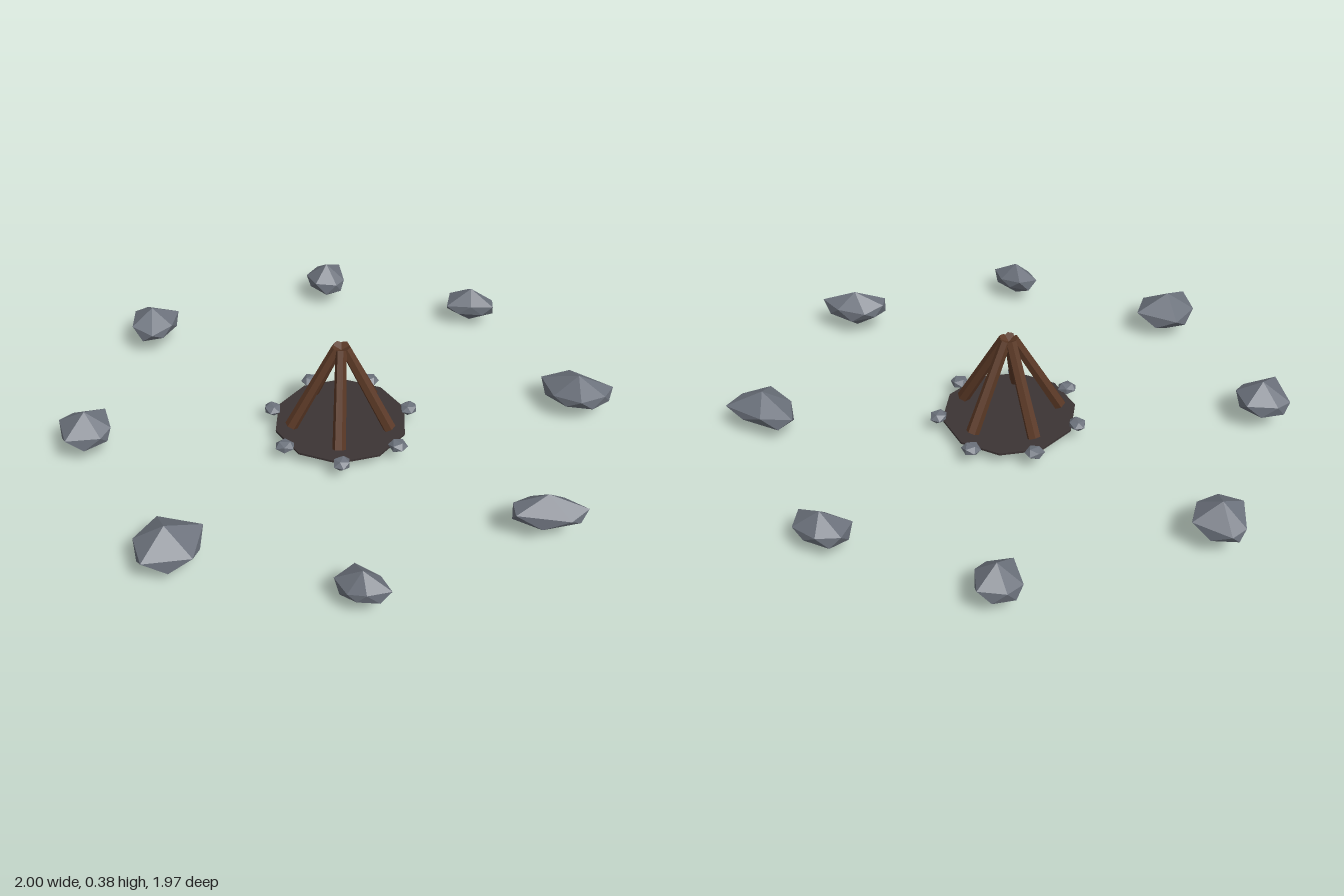
import * as THREE from 'three';
import { ConvexGeometry } from 'three/addons/geometries/ConvexGeometry.js';

function material(name, color) {
  const m = new THREE.MeshStandardMaterial({ color });
  m.name = name;
  m.flatShading = true;
  return m;
}

// Faceted boulder: upper ring, staggered lower ring, top and bottom points
function boulderGeometry(low, high, outline) {
  const n = outline.length;
  const cx = outline.reduce((s, p) => s + p[0], 0) / n;
  const cz = outline.reduce((s, p) => s + p[1], 0) / n;
  const h = high - low;
  const points = [new THREE.Vector3(cx, high, cz), new THREE.Vector3(cx, low, cz)];
  outline.forEach(([x, z], i) => {
    const [x2, z2] = outline[(i + 1) % n];
    const wobble = 0.06 * Math.sin(i * 2.3 + cx * 9);
    points.push(new THREE.Vector3(x, low + h * (0.62 + wobble), z));
    points.push(new THREE.Vector3(
      cx + ((x + x2) / 2 - cx) * 1.04,
      low + h * (0.36 + wobble),
      cz + ((z + z2) / 2 - cz) * 1.04));
  });
  return new ConvexGeometry(points);
}

// Outer boulders: bottom, top, outline seen from above as [x, z]
const BOULDERS = [
  [0.015, 0.16, [[-0.1, -0.92], [-0.05, -0.985], [0.06, -0.99], [0.1, -0.93], [0.03, -0.88], [-0.06, -0.84]]],
  [0.015, 0.165, [[-0.58, -0.8], [-0.5, -0.73], [-0.5, -0.68], [-0.56, -0.62], [-0.65, -0.67], [-0.65, -0.74]]],
  [0.02, 0.165, [[0.49, -0.65], [0.56, -0.735], [0.73, -0.76], [0.74, -0.68], [0.695, -0.585], [0.585, -0.58]]],
  [0.03, 0.17, [[-0.99, -0.08], [-0.86, -0.12], [-0.81, -0.03], [-0.83, 0.06], [-0.92, 0.075], [-1, -0.02]]],
  [0.03, 0.18, [[0.79, 0.04], [0.81, -0.04], [0.905, -0.095], [1, -0.09], [0.98, -0.015], [0.83, 0.085]]],
  [0.02, 0.17, [[-0.63, 0.5], [-0.54, 0.56], [-0.53, 0.62], [-0.6, 0.72], [-0.72, 0.64], [-0.71, 0.58]]],
  [0.02, 0.155, [[0.52, 0.64], [0.54, 0.56], [0.63, 0.545], [0.7, 0.58], [0.655, 0.65], [0.595, 0.67]]],
  [0, 0.165, [[-0.1, 0.78], [0.05, 0.72], [0.12, 0.845], [0.02, 0.975], [-0.085, 0.905]]],
];

export function createModel() {
  const stone = material('stone grey', 0x6c727c);
  const wood = material('wood brown', 0x5a3825);
  const ash = material('ash', 0x3c3434);
  const model = new THREE.Group();
  model.name = 'campfire';

  // Ring of boulders
  const boulders = new THREE.Group();
  boulders.name = 'boulders';
  BOULDERS.forEach(([low, high, outline], i) => {
    const rock = new THREE.Mesh(boulderGeometry(low, high, outline), stone);
    rock.name = `boulder${i + 1}`;
    boulders.add(rock);
  });
  model.add(boulders);

  const pit = new THREE.Group();
  pit.name = 'firePit';
  pit.position.set(0.02, 0, -0.04);
  model.add(pit);

  // Ash bed
  const bed = new THREE.Mesh(new THREE.CylinderGeometry(0.243, 0.243, 0.008, 10), ash);
  bed.name = 'ashBed';
  bed.position.y = 0.05;
  pit.add(bed);

  // Leaning logs
  const up = new THREE.Vector3(0, 1, 0);
  for (let i = 0; i < 5; i++) {
    const a = -Math.PI / 2 + (i * Math.PI * 2) / 5;
    const foot = new THREE.Vector3(Math.cos(a) * 0.185, 0.063, Math.sin(a) * 0.185);
    const tip = new THREE.Vector3(Math.cos(a) * 0.016, 0.368, Math.sin(a) * 0.016);
    const axis = tip.clone().sub(foot);
    const log = new THREE.Mesh(new THREE.CylinderGeometry(0.02, 0.024, axis.length(), 6), wood);
    log.name = `log${i + 1}`;
    log.position.copy(foot).add(tip).multiplyScalar(0.5);
    log.quaternion.setFromUnitVectors(up, axis.normalize());
    pit.add(log);
  }

  // Small stones around the ash bed
  for (let i = 0; i < 7; i++) {
    const a = (i * Math.PI * 2) / 7;
    const pebble = new THREE.Mesh(new THREE.IcosahedronGeometry(0.037, 0), stone);
    pebble.name = `pebble${i + 1}`;
    pebble.position.set(Math.cos(a) * 0.255, 0.059, Math.sin(a) * 0.255);
    pebble.scale.set(1, 0.58, 0.9);
    pebble.rotation.y = i * 1.9;
    pit.add(pebble);
  }
  return model;
}
